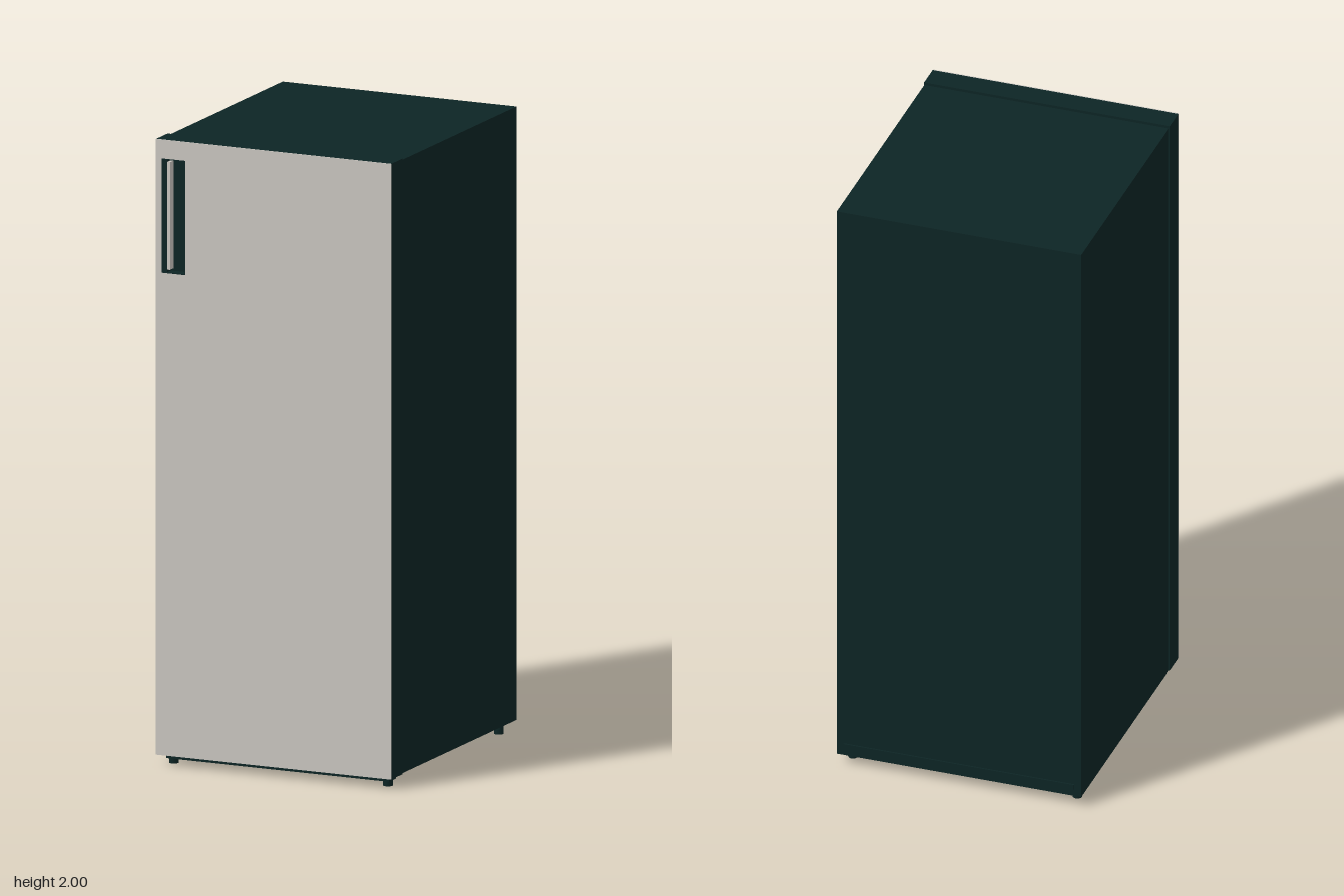
import * as THREE from 'three';

export function createModel() {
  const model = new THREE.Group();
  const dark = new THREE.MeshStandardMaterial({ color: 0x0d2525 });
  dark.name = 'dark green body';
  const light = new THREE.MeshStandardMaterial({ color: 0xcac6c0 });
  light.name = 'warm grey door';

  function add(name, geometry, material, x, y, z) {
    const mesh = new THREE.Mesh(geometry, material);
    mesh.name = name;
    mesh.position.set(x, y, z);
    model.add(mesh);
    return mesh;
  }

  // Box given by its lower and upper limits
  function box(name, material, [x0, x1], [y0, y1], [z0, z1]) {
    const geometry = new THREE.BoxGeometry(x1 - x0, y1 - y0, z1 - z0);
    return add(name, geometry, material, (x0 + x1) / 2, (y0 + y1) / 2, (z0 + z1) / 2);
  }

  // Door outline with the opening for the grip pocket
  function doorLayer(name, material, z, depth) {
    const shape = new THREE.Shape([
      [-0.406, 0.033], [0.406, 0.033], [0.406, 2], [-0.406, 2],
    ].map(p => new THREE.Vector2(...p)));
    shape.holes.push(new THREE.Path([
      [-0.385, 1.575], [-0.385, 1.94], [-0.305, 1.94], [-0.305, 1.575],
    ].map(p => new THREE.Vector2(...p))));
    add(name, new THREE.ExtrudeGeometry(shape, { depth, bevelEnabled: false }), material, 0, 0, z);
  }

  // Cabinet and the recessed seal behind the door
  box('cabinet', dark, [-0.403, 0.403], [0.035, 1.995], [-0.455, 0.367]);
  box('doorSeal', dark, [-0.396, 0.396], [0.042, 1.988], [0.366, 0.374]);

  // Door: solid back, pocketed body, pale front skin
  box('doorBack', dark, [-0.406, 0.406], [0.033, 2], [0.373, 0.43]);
  doorLayer('doorBody', dark, 0.43, 0.024);
  doorLayer('doorFront', light, 0.454, 0.004);

  // Grip pocket lining and slim pale trim
  for (const [x0, x1] of [[-0.385, -0.382], [-0.308, -0.305]])
    box('pocketSide', dark, [x0, x1], [1.575, 1.94], [0.43, 0.4585]);
  for (const [y0, y1] of [[1.575, 1.578], [1.937, 1.94]])
    box('pocketEnd', dark, [-0.385, -0.305], [y0, y1], [0.43, 0.4585]);
  box('handleGrip', dark, [-0.382, -0.367], [1.578, 1.937], [0.43, 0.457]);
  box('handleTrim', light, [-0.367, -0.358], [1.586, 1.93], [0.43, 0.456]);

  // Rear rail and front foot bar
  box('rearRail', dark, [-0.38, 0.38], [0.06, 0.077], [-0.46, -0.454]);
  box('footBar', dark, [-0.385, 0.385], [0.018, 0.036], [0.378, 0.428]);

  // Four round feet
  for (const x of [-0.37, 0.37])
    for (const z of [-0.397, 0.403])
      add('foot', new THREE.CylinderGeometry(0.015, 0.015, 0.036, 20), dark, x, 0.018, z);

  return model;
}
